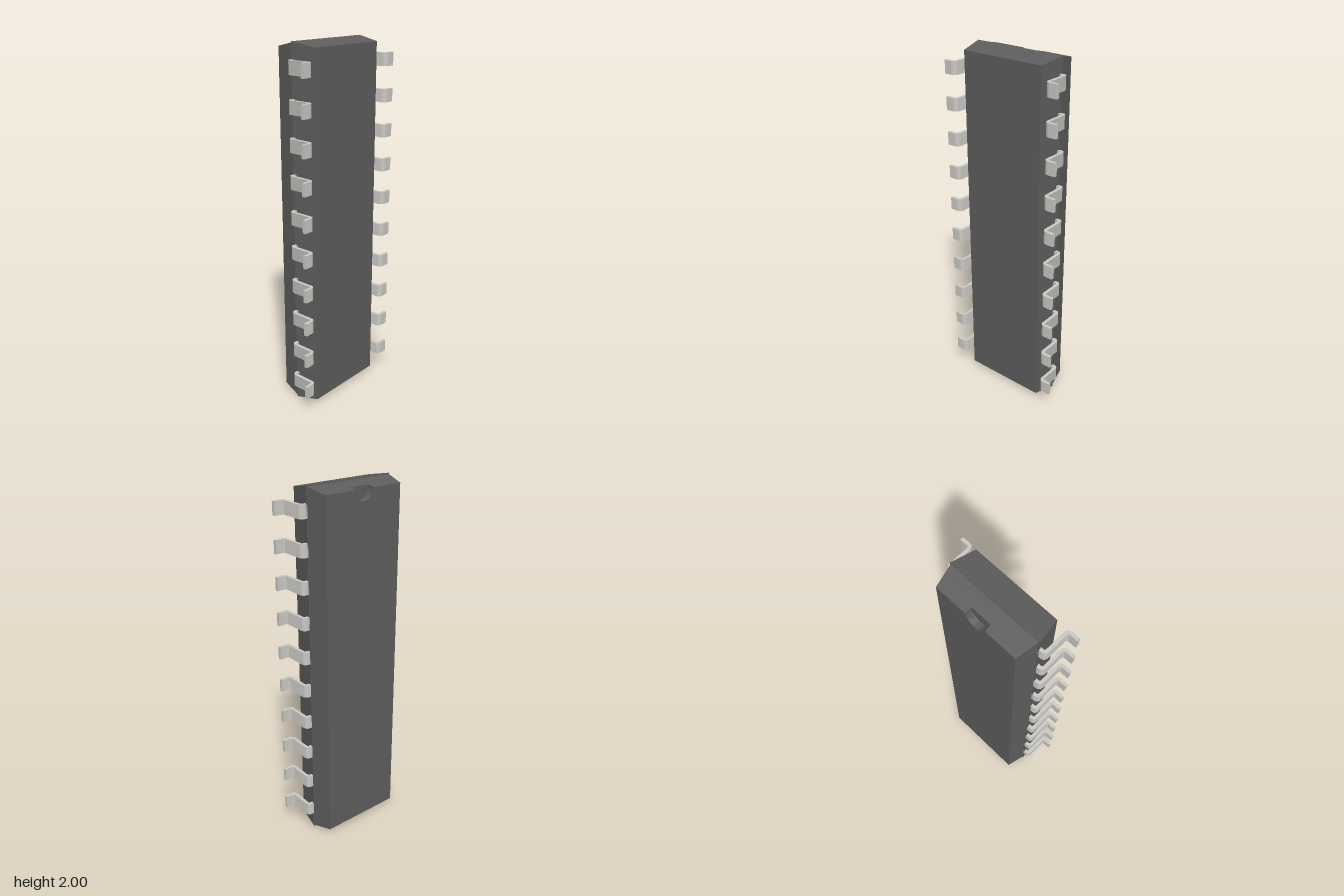
import * as THREE from 'three';
import { toCreasedNormals } from 'three/addons/utils/BufferGeometryUtils.js';

const NOTCH_R = 0.058, NOTCH_Y = 1.967;

// Counter-clockwise outline: half width w, inset e from both ends, optional notch in the top edge
function outline(w, e, notch = false) {
  const pts = [[-w, e], [w, e], [w, 2 - e]];
  if (notch) {
    pts.push([NOTCH_R, 2 - e]);
    for (let i = 0; i <= 20; i++) {
      const a = -Math.PI * i / 20;
      pts.push([NOTCH_R * Math.cos(a), NOTCH_Y + NOTCH_R * Math.sin(a)]);
    }
    pts.push([-NOTCH_R, 2 - e]);
  }
  pts.push([-w, 2 - e]);
  return pts;
}

// Closed solid between a front outline at zf and a back outline at zb
function loft(front, zf, back, zb) {
  const n = front.length;
  const pos = [...front.flatMap(([x, y]) => [x, y, zf]), ...back.flatMap(([x, y]) => [x, y, zb])];
  const idx = [];
  for (let i = 0; i < n; i++) {
    const j = (i + 1) % n;
    idx.push(n + i, j, i, n + i, n + j, j);
  }
  const cap = (pts) => THREE.ShapeUtils.triangulateShape(pts.map(([x, y]) => new THREE.Vector2(x, y)), []);
  for (const [a, b, c] of cap(front)) idx.push(a, b, c);
  for (const [a, b, c] of cap(back)) idx.push(n + a, n + c, n + b);
  const g = new THREE.BufferGeometry();
  g.setAttribute('position', new THREE.Float32BufferAttribute(pos, 3));
  g.setIndex(idx);
  return toCreasedNormals(g, 0.4);
}

// Gull-wing lead: bent strip profile extruded along y
function leadGeometry() {
  const height = 0.072, P = Math.PI;
  const s = new THREE.Shape();
  s.moveTo(0.25, 0.025);
  s.lineTo(0.278, 0.025);
  s.absarc(0.278, -0.001, 0.026, P / 2, 0, true);
  s.lineTo(0.304, -0.112);
  s.absarc(0.312, -0.112, 0.008, P, 1.5 * P, false);
  s.lineTo(0.356, -0.12);
  s.lineTo(0.356, -0.138);
  s.lineTo(0.312, -0.138);
  s.absarc(0.312, -0.112, 0.026, 1.5 * P, P, true);
  s.lineTo(0.286, -0.001);
  s.absarc(0.278, -0.001, 0.008, 0, P / 2, false);
  s.lineTo(0.25, 0.007);
  s.closePath();
  const g = new THREE.ExtrudeGeometry(s, { depth: height, bevelEnabled: false, curveSegments: 8 });
  g.translate(0, 0, -height / 2);
  g.rotateX(-P / 2);
  return toCreasedNormals(g, 0.5);
}

export function createModel() {
  const model = new THREE.Group();
  model.name = 'chipPackage';
  const plastic = new THREE.MeshStandardMaterial({ color: 0x5e5e5e });
  const metal = new THREE.MeshStandardMaterial({ color: 0xcbcac5 });

  const add = (parent, name, geometry, material) => {
    const mesh = new THREE.Mesh(geometry, material);
    mesh.name = name;
    parent.add(mesh);
    return mesh;
  };

  // Moulded body: two tapered halves meeting at a slightly stepped seam
  const body = new THREE.Group();
  body.name = 'body';
  model.add(body);
  add(body, 'frontHalf', loft(outline(0.243, 0.024), 0.11, outline(0.267, 0), -0.025), plastic);
  add(body, 'backHalf', loft(outline(0.262, 0.005), -0.025, outline(0.2457, 0.022), -0.103), plastic);
  // Outer slice of the back half carries the round orientation notch
  add(body, 'notchedBack', loft(outline(0.2457, 0.022, true), -0.103, outline(0.238, 0.03, true), -0.14), plastic);

  // Ten leads down each side
  const lead = leadGeometry();
  for (const side of ['left', 'right']) {
    const row = new THREE.Group();
    row.name = side + 'Leads';
    model.add(row);
    for (let i = 0; i < 10; i++) {
      const pin = add(row, side + 'Lead' + (i + 1), lead, metal);
      pin.position.y = 0.13 + i * 0.1943;
      if (side === 'right') pin.rotation.z = Math.PI;
    }
  }
  return model;
}
